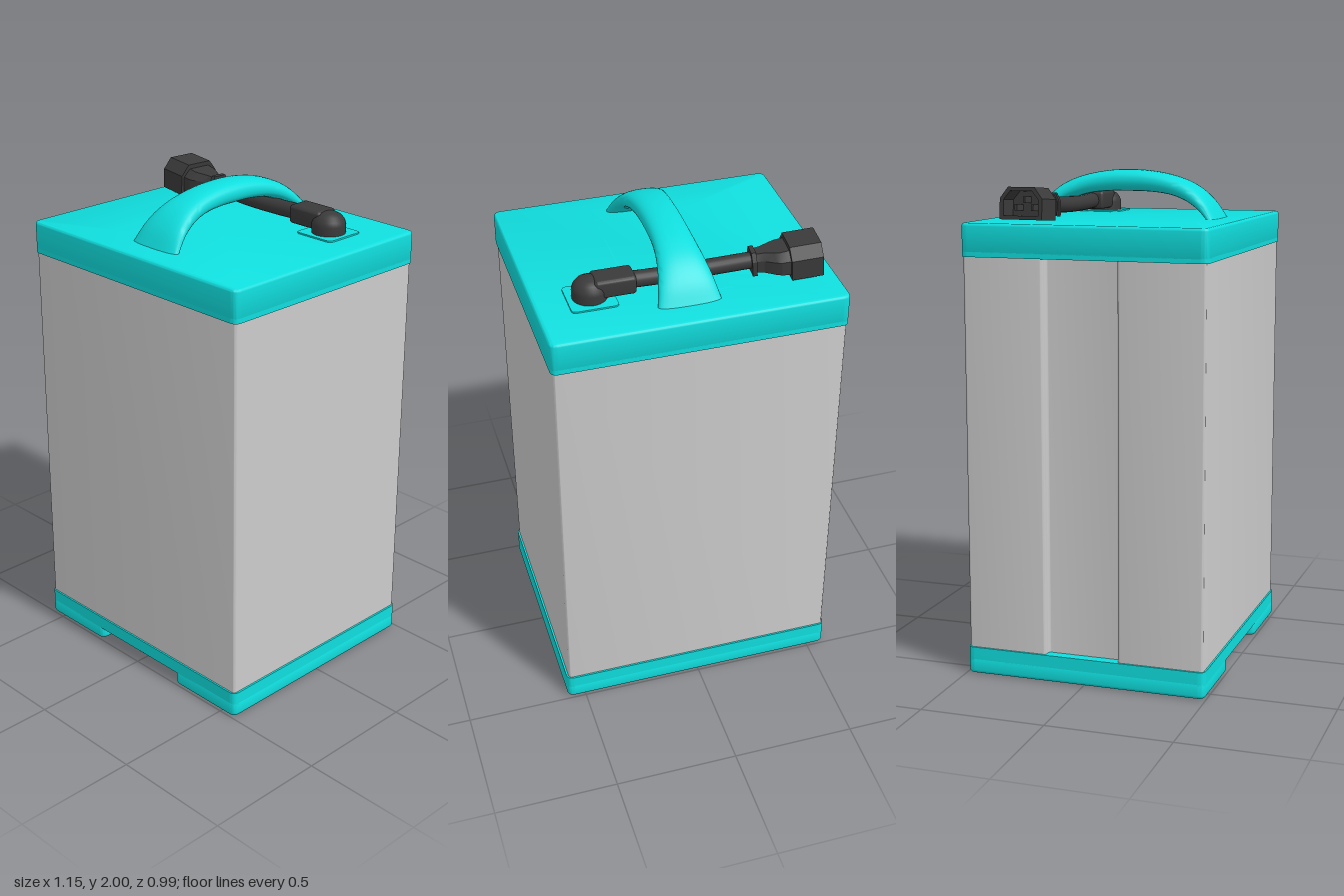
import * as THREE from 'three';
import { toCreasedNormals } from 'three/addons/utils/BufferGeometryUtils.js';

const teal = new THREE.MeshStandardMaterial({ color: 0x10dede });
const dark = new THREE.MeshStandardMaterial({ color: 0x3a3a3a });
const grey = new THREE.MeshStandardMaterial({ color: 0xcccccc });

function add(parent, name, geometry, material) {
  const mesh = new THREE.Mesh(geometry, material);
  mesh.name = name;
  parent.add(mesh);
  return mesh;
}

// Plan outline from [x, z] corners, each rounded by r
function outline(points, r) {
  const v = points.map(([x, z]) => new THREE.Vector2(x, -z));
  const shape = new THREE.Shape();
  v.forEach((p, i) => {
    const toward = (q) => p.clone().add(q.clone().sub(p).setLength(r));
    const a = toward(v[(i + v.length - 1) % v.length]);
    const b = toward(v[(i + 1) % v.length]);
    if (i) shape.lineTo(a.x, a.y);
    else shape.moveTo(a.x, a.y);
    shape.quadraticCurveTo(p.x, p.y, b.x, b.y);
  });
  shape.closePath();
  return shape;
}

const rect = (x0, x1, z0, z1, r) => outline([[x0, z0], [x1, z0], [x1, z1], [x0, z1]], r);

// Upright extrusion of a plan outline from y0 to y1
function slab(shape, y0, y1, bevel = 0) {
  const g = new THREE.ExtrudeGeometry(shape, {
    depth: y1 - y0 - 2 * bevel, curveSegments: 8, bevelEnabled: bevel > 0,
    bevelSize: bevel, bevelThickness: bevel, bevelOffset: -bevel, bevelSegments: 4,
  });
  g.rotateX(-Math.PI / 2).translate(0, y0 + bevel, 0);
  return toCreasedNormals(g, 0.6);
}

// Skin over rings that run counterclockwise about the direction of advance
function loft(rings, capStart, capEnd, crease) {
  const n = rings[0].length;
  const pos = rings.flat().flatMap((p) => [p.x, p.y, p.z]);
  const index = [];
  for (let i = 0; i < rings.length - 1; i++) {
    for (let j = 0; j < n; j++) {
      const a = i * n + j, b = i * n + (j + 1) % n;
      index.push(a, b, a + n, b, b + n, a + n);
    }
  }
  const cap = (s, start) => {
    for (let j = 1; j < n - 1; j++) index.push(s, s + (start ? j + 1 : j), s + (start ? j : j + 1));
  };
  if (capStart) cap(0, true);
  if (capEnd) cap((rings.length - 1) * n, false);
  const g = new THREE.BufferGeometry();
  g.setAttribute('position', new THREE.Float32BufferAttribute(pos, 3));
  g.setIndex(index);
  return toCreasedNormals(g, crease);
}

// Arched carrying handle, flaring toward its feet
function handleGeometry() {
  const arch = (half) => new THREE.CatmullRomCurve3([
    ...half.map(([z, y]) => new THREE.Vector3(0, y, -z)),
    ...half.slice(0, -1).reverse().map(([z, y]) => new THREE.Vector3(0, y, z)),
  ]);
  const outer = arch([[0.395, 1.8], [0.345, 1.88], [0.28, 1.938], [0.2, 1.973], [0.1, 1.994], [0, 2]]);
  const inner = arch([[0.35, 1.8], [0.3, 1.845], [0.24, 1.88], [0.17, 1.902], [0.08, 1.912], [0, 1.913]]);
  const rings = [];
  for (let i = 0; i <= 48; i++) {
    const o = outer.getPoint(i / 48), n = inner.getPoint(i / 48);
    const mid = o.clone().add(n).multiplyScalar(0.5);
    const up = o.clone().sub(n).multiplyScalar(0.5);
    const halfWidth = 0.075 + 0.05 * Math.pow(Math.abs(o.z) / 0.395, 3);
    const ring = [];
    for (let j = 0; j < 28; j++) {
      const a = (j / 28) * Math.PI * 2, c = Math.cos(a), s = Math.sin(a);
      const p = mid.clone().addScaledVector(up, Math.sign(s) * Math.pow(Math.abs(s), 0.8));
      p.x = 0.015 + halfWidth * Math.sign(c) * Math.pow(Math.abs(c), 0.8);
      ring.push(p);
    }
    rings.push(ring);
  }
  return loft(rings, true, true, 0.9);
}

// Cable plug with collar, flared neck and open socket
function plug() {
  const g = new THREE.Group();
  g.name = 'cablePlug';
  const section = ([z, w, h]) => [[-1, -1], [1, -1], [1, 0.3], [0.62, 1], [-0.62, 1], [-1, 0.3]]
    .map(([x, y]) => new THREE.Vector3(x * w, y * h, z));
  const profile = [
    [0, 0.044, 0.046], [0.018, 0.044, 0.046], [0.018, 0.037, 0.036], [0.045, 0.042, 0.038],
    [0.085, 0.068, 0.04], [0.105, 0.077, 0.041], [0.14, 0.078, 0.044], [0.14, 0.09, 0.062],
    [0.262, 0.09, 0.062], [0.262, 0.074, 0.047], [0.18, 0.074, 0.047],
  ];
  add(g, 'plugShell', loft(profile.map(section), true, true, 0.35), dark);
  for (const [x, y] of [[-0.035, -0.015], [0.035, -0.015], [0, 0.015]]) {
    add(g, 'plugPin', new THREE.BoxGeometry(0.01, 0.024, 0.06), dark).position.set(x, y, 0.205);
  }
  g.position.set(-0.26, 1.868, -0.24);
  g.lookAt(-0.52, 1.885, -0.262);
  return g;
}

export function createModel() {
  const model = new THREE.Group();
  model.name = 'batteryPack';
  const X = 0.575, Z = 0.495;

  // Sleeve with a shallow vertical channel on its right side
  const bx = 0.567, bz = 0.488;
  add(model, 'sleeve', slab(outline([
    [-bx, -bz], [bx, -bz], [bx, bz], [-bx, bz],
    [-bx, 0.14], [-bx + 0.035, 0.14], [-bx + 0.035, -0.16], [-bx, -0.16],
  ], 0.014), 0.09, 1.69), grey);

  // Base, its lower half notched at the front
  add(model, 'baseRim', slab(rect(-X, X, -Z, Z, 0.03), 0.055, 0.11), teal);
  add(model, 'baseFoot', slab(outline([
    [-X, -Z], [X, -Z], [X, Z], [0.225, Z], [0.225, 0.275], [-0.23, 0.275], [-0.23, Z], [-X, Z],
  ], 0.03), 0, 0.075, 0.015), teal);

  // Socket flange in the notch
  const flange = outline([
    [-0.18, -0.035], [-0.07, -0.085], [0.07, -0.085], [0.18, -0.035],
    [0.18, 0.035], [0.07, 0.085], [-0.07, 0.085], [-0.18, 0.035],
  ], 0.025);
  flange.holes.push(new THREE.Path().absarc(0, 0, 0.058, 0, Math.PI * 2, true));
  add(model, 'socketFlange', slab(flange, 0.03, 0.058), dark).position.set(-0.005, 0, 0.385);

  // Lid with a sloping hand pocket
  add(model, 'lidRim', slab(rect(-X, X, -Z, Z, 0.03), 1.68, 1.7), teal);
  const lid = rect(-X, X, -Z, Z, 0.03);
  lid.holes.push(rect(-0.18, 0.21, -0.32, 0.32, 0.004));
  add(model, 'lid', slab(lid, 1.685, 1.81, 0.012), teal);
  const pocketRing = (y, w, d) => [[-1, -1], [1, -1], [1, 1], [-1, 1]]
    .map(([x, z]) => new THREE.Vector3(0.015 + x * w, y, z * d));
  add(model, 'handPocket',
    loft([pocketRing(1.802, 0.197, 0.322), pocketRing(1.705, 0.05, 0.24)], false, true, 0.2)
      .rotateY(0), teal).material = Object.assign(teal.clone(), { side: THREE.DoubleSide });
  add(model, 'handle', handleGeometry(), teal);

  // Cable outlet plate and elbow
  add(model, 'outletPlate', slab(rect(0.268, 0.448, -0.318, -0.14, 0.02), 1.8, 1.816), teal);
  add(model, 'elbowNeck', slab(rect(0.19, 0.35, -0.28, -0.18, 0.015), 1.825, 1.9, 0.014), dark);
  const dome = [[0.067, 1.81], [0.068, 1.85], [0.063, 1.868], [0.05, 1.885], [0.03, 1.896], [0, 1.9]];
  add(model, 'elbowDome', new THREE.LatheGeometry(dome.map((p) => new THREE.Vector2(...p)), 32), dark)
    .position.set(0.36, 0, -0.228);

  // Cable under the handle, ending in the plug
  const path = new THREE.CatmullRomCurve3([
    [0.22, 1.862, -0.23], [0.08, 1.858, -0.23], [-0.1, 1.86, -0.23], [-0.27, 1.869, -0.241],
  ].map((p) => new THREE.Vector3(...p)));
  add(model, 'cable', new THREE.TubeGeometry(path, 32, 0.032, 20), dark);
  model.add(plug());

  return model;
}
